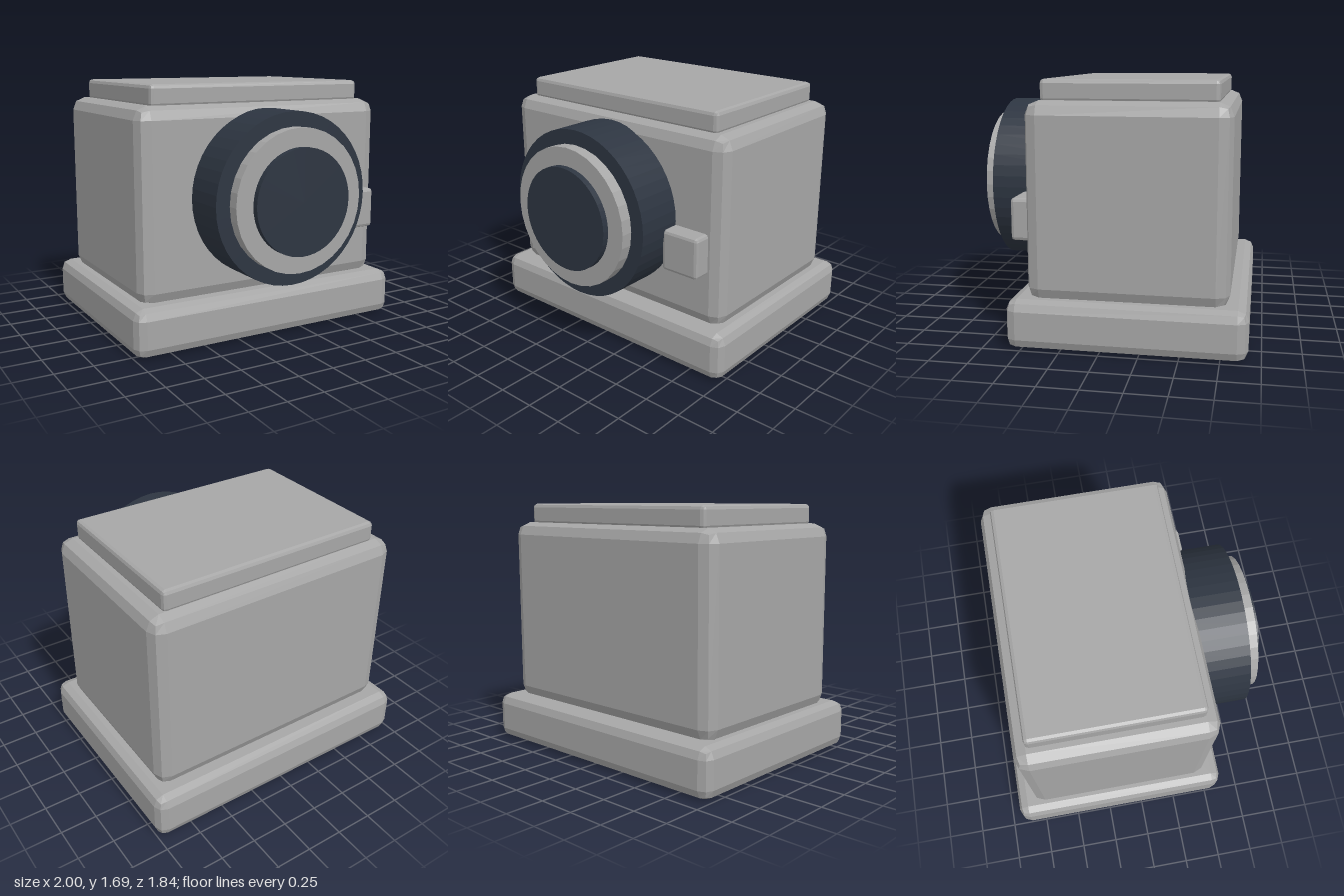
import * as THREE from 'three';
import { RoundedBoxGeometry } from 'three/addons/geometries/RoundedBoxGeometry.js';

// Box between two corners with a two-facet bevel on every edge
function bevelBox(name, material, min, max, bevel) {
  const size = max.map((v, i) => v - min[i]);
  const geometry = new RoundedBoxGeometry(size[0], size[1], size[2], 1, bevel);
  geometry.computeVertexNormals(); // unshared corners give flat facets
  const mesh = new THREE.Mesh(geometry, material);
  mesh.name = name;
  mesh.position.set(...max.map((v, i) => (v + min[i]) / 2));
  return mesh;
}

// Faceted disc facing +z, on the lens axis
function lensDisc(name, material, radius, back, front, sides) {
  const geometry = new THREE.CylinderGeometry(radius, radius, front - back, sides)
    .rotateX(Math.PI / 2)
    .toNonIndexed();
  geometry.computeVertexNormals();
  const mesh = new THREE.Mesh(geometry, material);
  mesh.name = name;
  mesh.position.set(0, 0.965, (front + back) / 2);
  return mesh;
}

export function createModel() {
  const grey = new THREE.MeshStandardMaterial({ color: 0xa6a6a6 });
  grey.name = 'grey';
  const dark = new THREE.MeshStandardMaterial({ color: 0x2d3541 });
  dark.name = 'dark slate';

  const model = new THREE.Group();
  model.name = 'boxCamera';
  model.add(
    // Stacked housing
    bevelBox('base', grey, [-1, 0, -0.92], [1, 0.32, 0.6], 0.068),
    bevelBox('body', grey, [-0.915, 0.295, -0.8], [0.915, 1.56, 0.485], 0.086),
    bevelBox('lid', grey, [-0.797, 1.545, -0.715], [0.797, 1.69, 0.402], 0.026),
    // Small block beside the lens
    bevelBox('latch', grey, [0.54, 0.665, 0.46], [0.815, 0.94, 0.6], 0.022),
    // Stepped lens
    lensDisc('lensBarrel', dark, 0.56, 0.3, 0.8, 48),
    lensDisc('lensRing', grey, 0.465, 0.7, 0.878, 32),
    lensDisc('lensGlass', dark, 0.345, 0.8, 0.92, 48)
  );
  return model;
}
